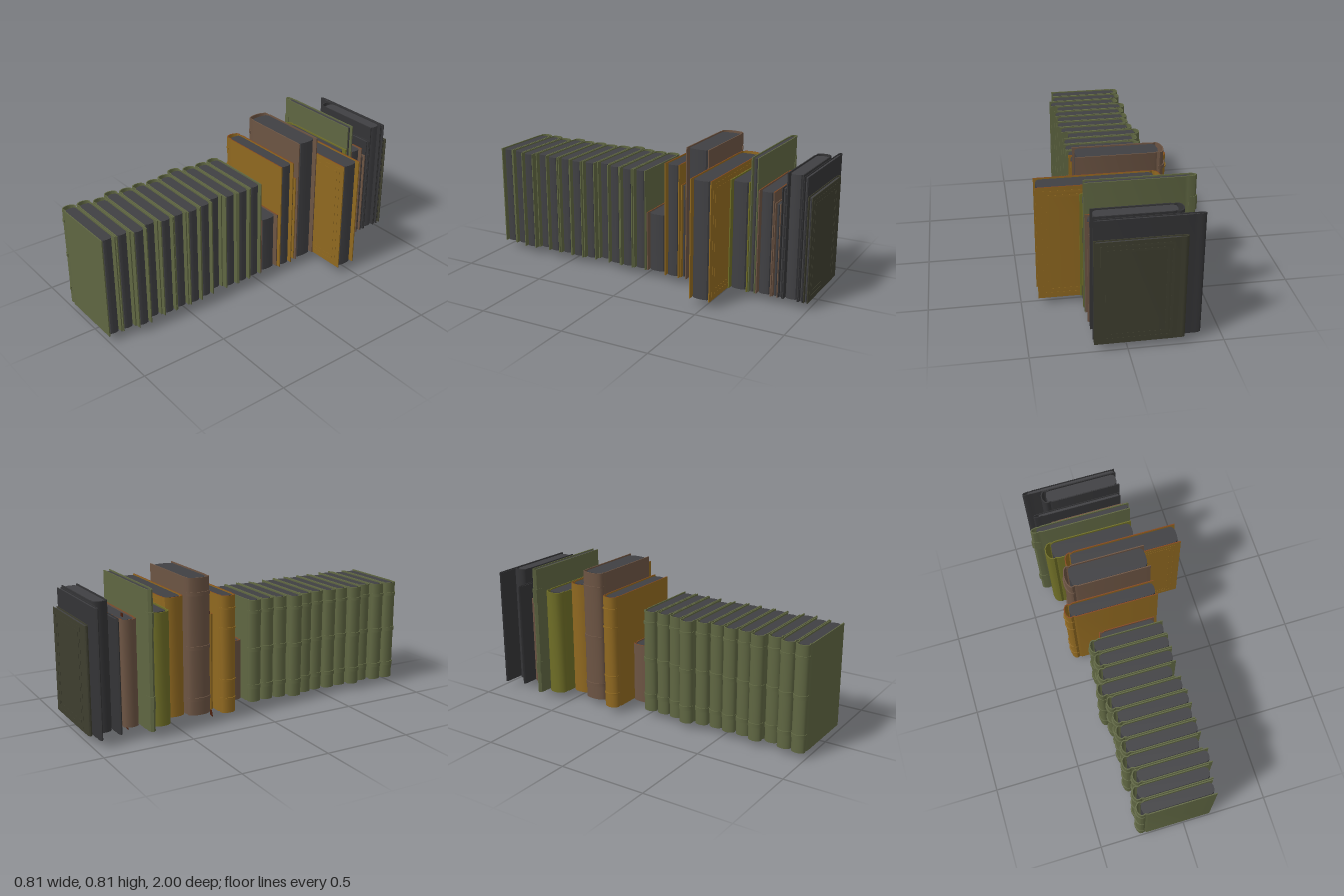
import * as THREE from 'three';
import { toCreasedNormals } from 'three/addons/utils/BufferGeometryUtils.js';

const BASE = 0.04; // underside of every cover

function makeMaterials() {
  const make = (name, color) => {
    const m = new THREE.MeshStandardMaterial({ color });
    m.name = name;
    return m;
  };
  return {
    green: make('green cloth', 0x5f6642),
    gold: make('gold cloth', 0x8f6820),
    brown: make('brown leather', 0x6c5443),
    rust: make('rust trim', 0x84451c),
    olive: make('olive cloth', 0x6e6d26),
    red: make('dark red ribbon', 0x4c200e),
    dark: make('dark olive leather', 0x3e3e2f),
    black: make('black leather', 0x343436),
    pages: make('grey pages', 0x404043),
  };
}

// Vertical prism from a plan outline (x, depth)
function prism(points, y0, y1) {
  const geo = new THREE.ExtrudeGeometry(new THREE.Shape(points), { depth: y1 - y0, bevelEnabled: false });
  geo.rotateX(-Math.PI / 2).translate(0, y0, 0);
  return toCreasedNormals(geo, 0.6);
}

// Outline of a bent sheet: the path plus its offset to the inner side
function sheet(path, thickness) {
  const inner = path.map((p, i) => {
    const a = path[Math.max(i - 1, 0)], b = path[Math.min(i + 1, path.length - 1)];
    const d = b.clone().sub(a).normalize();
    return new THREE.Vector2(p.x - d.y * thickness, p.y + d.x * thickness);
  });
  return [...path, ...inner.reverse()];
}

function spineArc(hx, rx, rz, segments) {
  const pts = [];
  for (let i = 0; i <= segments; i++) {
    const a = Math.PI / 2 + (Math.PI * i) / segments;
    pts.push(new THREE.Vector2(hx + rx * Math.cos(a), rz * Math.sin(a)));
  }
  return pts;
}

function addMesh(parent, name, geo, material) {
  const mesh = new THREE.Mesh(geo, material);
  mesh.name = name;
  parent.add(mesh);
  return mesh;
}

// Raised border on both boards
function addFrames(book, x0, x1, y0, y1, half, material) {
  for (const inset of [0, 0.025]) {
    const rect = (P, e) => new P().moveTo(x0 + e, y0 + e).lineTo(x1 - e, y0 + e)
      .lineTo(x1 - e, y1 - e).lineTo(x0 + e, y1 - e).closePath();
    const shape = rect(THREE.Shape, inset);
    shape.holes.push(rect(THREE.Path, inset + 0.012));
    for (const side of [-1, 1]) {
      const geo = new THREE.ExtrudeGeometry(shape, { depth: 0.002, bevelEnabled: false });
      geo.translate(0, 0, side * half - 0.001);
      addMesh(book, 'coverFrame', geo, material);
    }
  }
}

function makeBook(mats, o) {
  const { z0, z1, top, spine, front, color, edge = color, bulge = 0.03, segments = 10 } = o;
  const book = new THREE.Group();
  book.name = o.name || 'book';
  book.position.z = (z0 + z1) / 2;
  const t = Math.abs(z0 - z1) - 0.002, half = t / 2;
  const c = Math.min(0.006, t * 0.14), dip = Math.min(0.006, t * 0.1);
  const hx = spine + bulge;

  // Boards, hinge grooves and rounded spine in one bent sheet
  const upper = [[front, half], [hx + 0.03, half], [hx + 0.015, half - dip]]
    .map(([x, z]) => new THREE.Vector2(x, z));
  const lower = upper.map((p) => new THREE.Vector2(p.x, -p.y)).reverse();
  const path = [...upper, ...spineArc(hx, bulge, half - dip * 0.2, segments), ...lower];
  addMesh(book, 'cover', prism(sheet(path, c), BASE, top), [mats[edge], mats[color]]);

  // Page block with a softly rounded fore edge
  const hw = half - c - dip * 0.6, px = hx + 0.006, fx = front - 0.008;
  const block = [[px, hw * 0.85], [px - 0.006, 0], [px, -hw * 0.85], [px + 0.02, -hw],
    [fx - 0.02, -hw], [fx - 0.005, -hw * 0.75], [fx, -hw * 0.3], [fx, hw * 0.3],
    [fx - 0.005, hw * 0.75], [fx - 0.02, hw], [px + 0.02, hw]]
    .map(([x, z]) => new THREE.Vector2(x, z));
  addMesh(book, 'pages', prism(block, BASE + 0.004, top - 0.006), mats.pages);

  // Raised bands across the spine
  for (const [y, h] of o.bands || []) {
    const arc = spineArc(hx, bulge + 0.007, half + 0.001, segments);
    const ends = [new THREE.Vector2(hx + 0.008, half + 0.001), new THREE.Vector2(hx + 0.008, -half - 0.001)];
    addMesh(book, 'spineBand', prism(sheet([ends[0], ...arc, ends[1]], 0.007), y - h / 2, y + h / 2), mats[color]);
  }

  if (o.frame) addFrames(book, hx + 0.05, front - 0.03, BASE + 0.02, top - 0.022, half, mats[color]);

  // Ribbon marker hanging below the pages, with its end showing above
  if (o.ribbon !== undefined) {
    const x = o.ribbon;
    const tail = new THREE.Shape();
    tail.moveTo(x, 0.05);
    tail.quadraticCurveTo(x - 0.02, 0.03, x - 0.025, 0);
    tail.lineTo(x, 0.003);
    tail.quadraticCurveTo(x + 0.008, 0.03, x + 0.025, 0.05);
    addMesh(book, 'ribbon', new THREE.ExtrudeGeometry(tail, { depth: 0.003, bevelEnabled: false }), mats.red);
    const tip = new THREE.BoxGeometry(0.025, 0.025, 0.004);
    addMesh(book, 'ribbonTop', tip.translate(x + 0.01, top, 0), mats.red);
  }
  return book;
}

export function createModel() {
  const model = new THREE.Group();
  model.name = 'rowOfBooks';
  const mats = makeMaterials();

  // Matching green set, each volume pushed in by a slightly different amount
  const shifts = [-0.02, -0.015, 0.01, -0.02, 0, -0.005, 0.005, -0.005, -0.035, -0.005, 0, -0.005];
  shifts.forEach((s, i) => {
    const z1 = 1 - i * 0.085;
    model.add(makeBook(mats, {
      name: 'setVolume', z0: z1 - 0.083, z1, top: 0.633, spine: -0.258 + s, front: 0.178 + s,
      color: 'green', bulge: 0.028, bands: [[0.13, 0.023], [0.348, 0.022], [0.565, 0.016]],
    }));
  });

  // Odd volumes, from the set to the far end
  const odd = [
    { name: 'smallBook', z1: -0.022, z0: -0.145, top: 0.39, spine: -0.18, front: 0.168, color: 'brown', edge: 'rust', bulge: 0.015 },
    { name: 'goldBook', z1: -0.147, z0: -0.24, top: 0.70, spine: -0.345, front: 0.187, color: 'gold', edge: 'rust', segments: 6,
      bands: [[0.123, 0.009], [0.228, 0.008], [0.52, 0.009], [0.63, 0.009]] },
    { name: 'thinRustBook', z1: -0.241, z0: -0.276, top: 0.585, spine: -0.25, front: 0.17, color: 'gold', edge: 'rust', bulge: 0.02, segments: 4, ribbon: -0.235 },
    { name: 'tallBrownBook', z1: -0.277, z0: -0.415, top: 0.805, spine: -0.297, front: 0.183, color: 'brown',
      bands: [[0.13, 0.02], [0.42, 0.02], [0.718, 0.02]] },
    { name: 'wideGoldBook', z1: -0.416, z0: -0.539, top: 0.707, spine: -0.26, front: 0.407, color: 'gold', edge: 'rust', bulge: 0.035, segments: 6, frame: true },
    { name: 'oliveBook', z1: -0.54, z0: -0.655, top: 0.66, spine: -0.35, front: 0.18, color: 'olive', bulge: 0.04, segments: 6 },
    { name: 'thinGreenBook', z1: -0.657, z0: -0.7, top: 0.797, spine: -0.4, front: 0.178, color: 'green', bulge: 0.035, segments: 4,
      bands: [[0.198, 0.068], [0.64, 0.08]] },
    { name: 'rustBook', z1: -0.701, z0: -0.792, top: 0.625, spine: -0.285, front: 0.175, color: 'brown', edge: 'rust', ribbon: -0.19 },
    { name: 'lowDarkBook', z1: -0.793, z0: -0.828, top: 0.565, spine: -0.27, front: 0.17, color: 'brown', bulge: 0.02 },
    { name: 'thinBlackBook', z1: -0.829, z0: -0.854, top: 0.655, spine: -0.355, front: 0.17, color: 'black', segments: 4 },
    { name: 'thickBlackBook', z1: -0.855, z0: -0.945, top: 0.74, spine: -0.285, front: 0.172, color: 'black' },
    { name: 'tallThinBook', z1: -0.946, z0: -0.971, top: 0.73, spine: -0.383, front: 0.172, color: 'black', segments: 4 },
    { name: 'endBook', z1: -0.972, z0: -0.999, top: 0.627, spine: -0.295, front: 0.172, color: 'dark', bulge: 0.02, segments: 6, frame: true },
  ];
  odd.forEach((o) => model.add(makeBook(mats, o)));
  return model;
}
